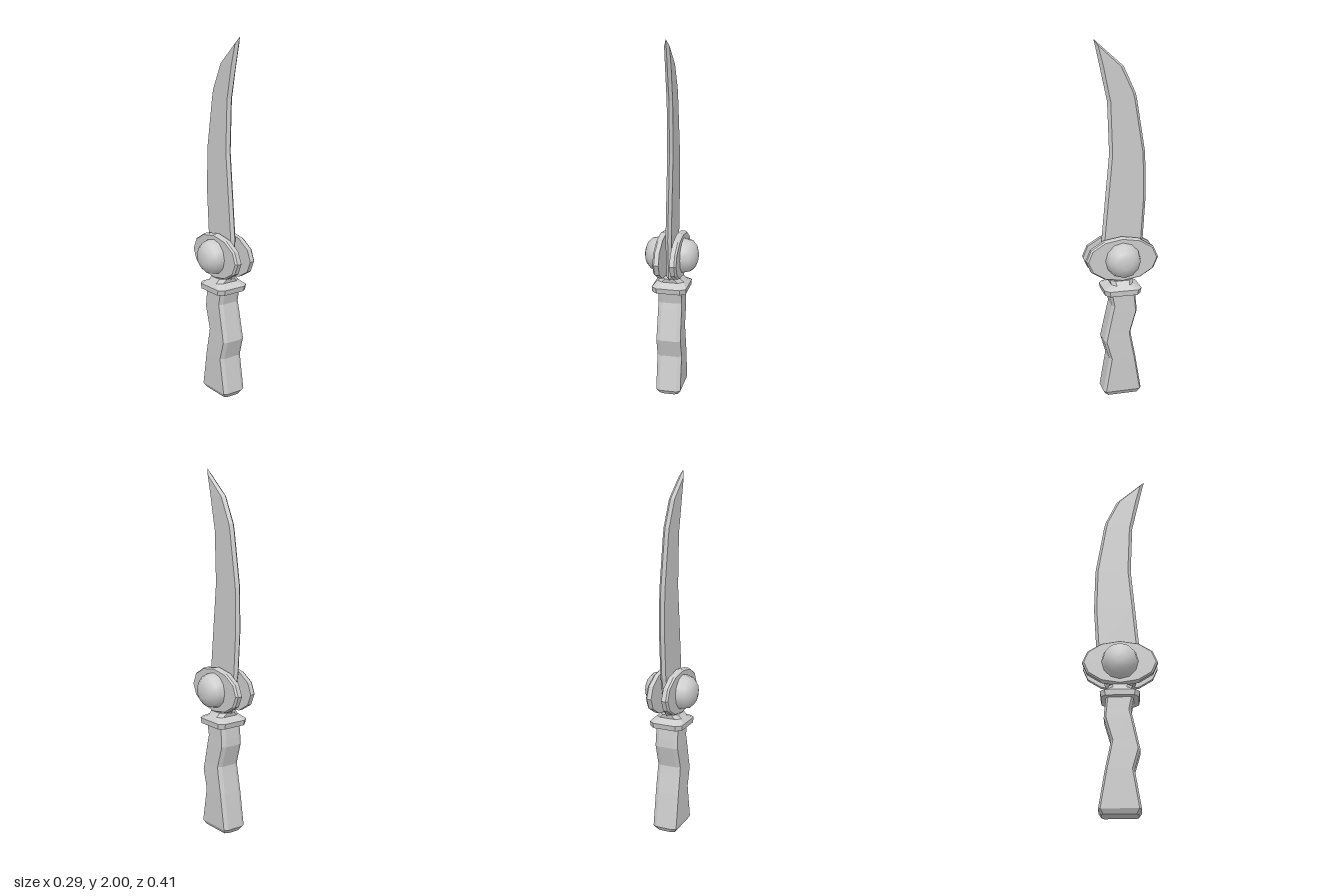
import * as THREE from 'three';

const flat = new THREE.MeshStandardMaterial({ color: 0xcccccc, flatShading: true });
const smooth = new THREE.MeshStandardMaterial({ color: 0xcccccc });

function add(parent, name, geometry, material = flat) {
  const mesh = new THREE.Mesh(geometry, material);
  mesh.name = name;
  parent.add(mesh);
  return mesh;
}

// Skin a stack of equal-length rings (counter-clockwise seen from above) and cap both ends.
function loft(rings) {
  const n = rings[0].length;
  const index = [];
  for (let r = 0; r < rings.length - 1; r++) {
    for (let i = 0; i < n; i++) {
      const a = r * n + i, b = r * n + (i + 1) % n;
      index.push(a, b, b + n, a, b + n, a + n);
    }
  }
  const top = (rings.length - 1) * n;
  for (let i = 1; i < n - 1; i++) {
    index.push(0, i + 1, i, top, top + i, top + i + 1);
  }
  const geometry = new THREE.BufferGeometry();
  geometry.setAttribute('position', new THREE.Float32BufferAttribute(rings.flat(2), 3));
  geometry.setIndex(index);
  geometry.computeVertexNormals();
  return geometry;
}

// Rectangle with chamfered corners: half width w, front zf, back zb, chamfers cx and cz.
function chamferRing(y, w, zf, zb, cx, cz) {
  return [
    [w - cx, y, zf], [w, y, zf - cz], [w, y, zb + cz], [w - cx, y, zb],
    [cx - w, y, zb], [-w, y, zb + cz], [-w, y, zf - cz], [cx - w, y, zf],
  ];
}

// Thin hexagonal section with sharp front and back edges.
function bladeRing([y, zf, zb, t, bevel]) {
  return [
    [0, y, zf], [t, y, zf - bevel], [t, y, zb + bevel],
    [0, y, zb], [-t, y, zb + bevel], [-t, y, zf - bevel],
  ];
}

// Profile spun around the x axis: points are [radius, x].
function spinX(points, segments) {
  const profile = points.map(([r, x]) => new THREE.Vector2(r, x));
  return new THREE.LatheGeometry(profile, segments).rotateZ(-Math.PI / 2);
}

export function createModel() {
  const model = new THREE.Group();
  model.name = 'knife';

  // Wavy grip: y, half width, front z, back z
  const grip = [
    [0, 0.055, 0.095, -0.095],
    [0.025, 0.07, 0.11, -0.11],
    [0.228, 0.07, 0.075, -0.077],
    [0.334, 0.069, 0.105, -0.056],
    [0.38, 0.068, 0.095, -0.048],
    [0.504, 0.067, 0.068, -0.085],
    [0.546, 0.066, 0.058, -0.082],
    [0.63, 0.065, 0.075, -0.073],
  ];
  add(model, 'handle', loft(grip.map(([y, w, zf, zb]) => chamferRing(y, w, zf, zb, 0.022, 0.012))));

  // Collar between grip and guard
  const collar = [
    [0.615, 0.095, 0.1],
    [0.645, 0.097, 0.106],
    [0.668, 0.075, 0.06],
    [0.69, 0.055, 0.065],
  ];
  add(model, 'collar', loft(collar.map(([y, w, d]) => chamferRing(y, w, d, -d, 0.03, 0.025))));

  // Curved blade: y, front z, back z, half thickness, edge bevel
  const blade = [
    [0.685, 0.07, -0.07, 0.004, 0.015],
    [0.705, 0.085, -0.085, 0.015, 0.015],
    [0.92, 0.105, -0.13, 0.016, 0.016],
    [1.155, 0.083, -0.145, 0.016, 0.016],
    [1.395, 0.06, -0.14, 0.016, 0.016],
    [1.68, 0.07, -0.094, 0.016, 0.016],
    [1.72, 0.079, -0.085, 0.016, 0.016],
    [1.86, 0.109, -0.02, 0.016, 0.018],
    [1.965, 0.132, 0.1, 0.014, 0.014],
    [2, 0.141, 0.139, 0.001, 0.001],
  ];
  add(model, 'blade', loft(blade.map(bladeRing)));

  // Oval guard plate with a domed boss on each side
  const plate = spinX([[0, 0.03], [1, 0.03], [1, 0.055], [0.95, 0.065], [0, 0.065]], 12).scale(1, 0.125, 0.203);
  const dome = spinX([[0.098, 0.04], [0.098, 0.07], [0.088, 0.11], [0.06, 0.136], [0.03, 0.146], [0, 0.147]], 12);
  for (const side of ['left', 'right']) {
    const guard = new THREE.Group();
    guard.name = side + 'Guard';
    guard.position.y = 0.815;
    if (side === 'right') guard.rotation.y = Math.PI;
    add(guard, side + 'GuardPlate', plate);
    add(guard, side + 'Boss', dome, smooth);
    model.add(guard);
  }

  return model;
}
